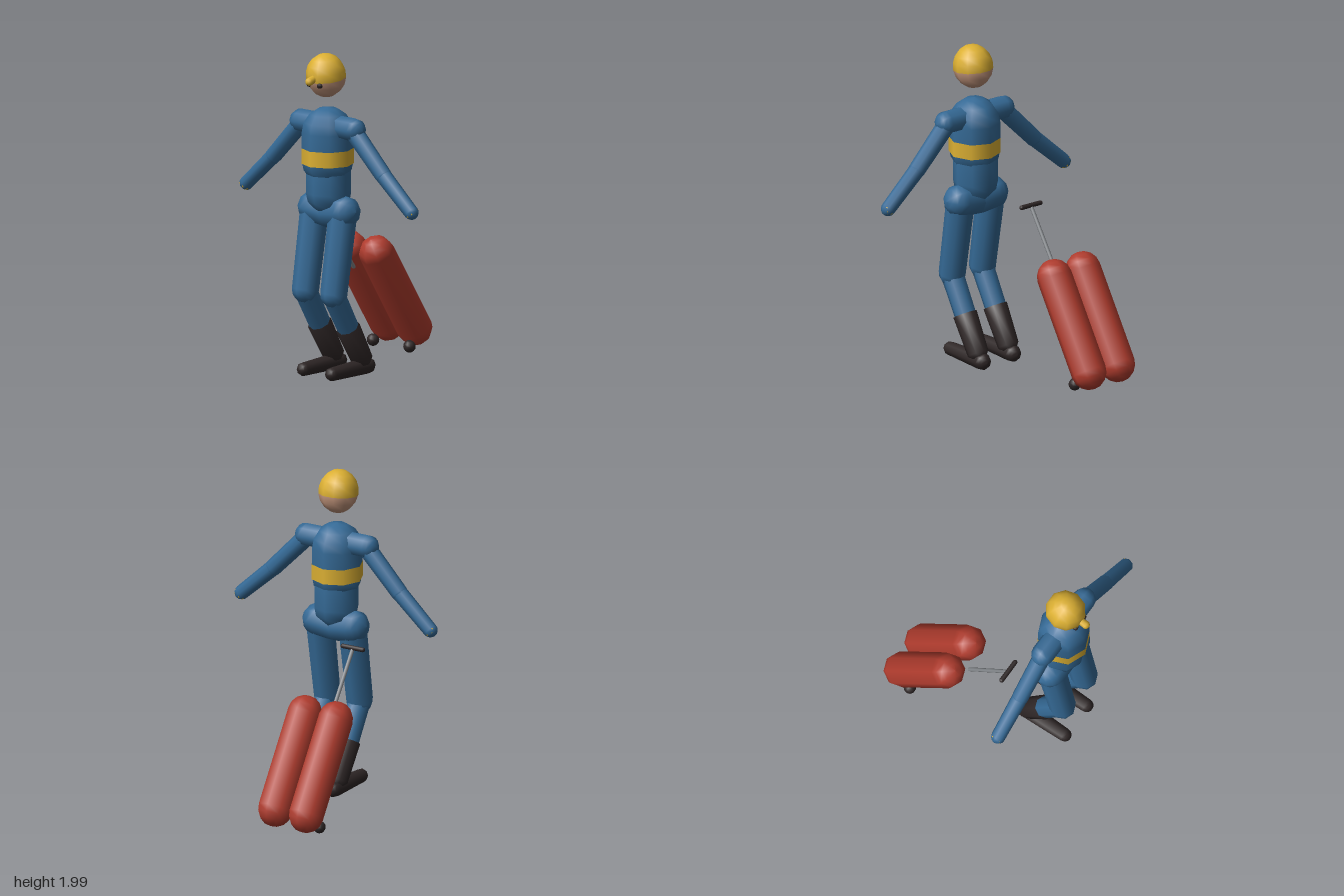
import * as THREE from 'three';

const mat = (name, color) => {
  const m = new THREE.MeshStandardMaterial({ color });
  m.name = name;
  return m;
};

export function createModel() {
  const blue = mat('blue suit', 0x356a96);
  const yellow = mat('yellow trim', 0xdcb033);
  const skin = mat('skin', 0xc0937a);
  const dark = mat('dark rubber', 0x2e2626);
  const red = mat('red case', 0xb03c2e);
  const grey = mat('grey metal', 0x84888c);

  const model = new THREE.Group();
  const UP = new THREE.Vector3(0, 1, 0);

  const add = (name, geo, material, pos = [0, 0, 0], parent = model) => {
    const mesh = new THREE.Mesh(geo, material);
    mesh.name = name;
    mesh.position.set(...pos);
    parent.add(mesh);
    return mesh;
  };

  // Eight-sided profile spun around the line from a to b
  const spin = (name, a, b, material, profile, parent) => {
    const start = new THREE.Vector3(...a);
    const dir = new THREE.Vector3(...b).sub(start);
    const geo = new THREE.LatheGeometry(profile(dir.length()), 8);
    const mesh = add(name, geo, material, a, parent);
    mesh.quaternion.setFromUnitVectors(UP, dir.normalize());
    return mesh;
  };

  // Round-ended limb, optionally tapered
  const limb = (name, a, b, ra, rb, material, parent) =>
    spin(name, a, b, material, (len) => {
      const pts = [];
      for (let i = 0; i <= 4; i++) {
        const t = (i / 4) * Math.PI / 2;
        pts.push(new THREE.Vector2(ra * Math.sin(t), -ra * Math.cos(t)));
      }
      for (let i = 0; i <= 4; i++) {
        const t = (i / 4) * Math.PI / 2;
        pts.push(new THREE.Vector2(rb * Math.cos(t), len + rb * Math.sin(t)));
      }
      pts[0].x = pts[9].x = 0;
      return pts;
    }, parent);

  // Head: covered crown and bare face share one tilted ball
  const head = new THREE.Group();
  head.name = 'head';
  head.position.set(0, 1.865, 0.448);
  head.rotation.x = 0.12;
  head.scale.set(0.97, 1.08, 1);
  model.add(head);
  const cut = Math.PI * 0.545;
  add('hood', new THREE.SphereGeometry(0.125, 10, 5, 0, Math.PI * 2, 0, cut), yellow, [0, 0, 0], head);
  add('face', new THREE.SphereGeometry(0.125, 10, 4, 0, Math.PI * 2, cut, Math.PI - cut), skin, [0, 0, 0], head);
  limb('headLamp', [0, 1.86, 0.55], [0, 1.846, 0.595], 0.022, 0.026, yellow);

  // Torso
  limb('chest', [0, 1.34, 0.433], [0, 1.513, 0.433], 0.157, 0.157, blue);
  limb('waist', [0, 1.14, 0.425], [0, 1.28, 0.425], 0.137, 0.137, blue);
  add('chestBand', new THREE.CylinderGeometry(0.159, 0.159, 0.095, 8, 1, true), yellow, [0, 1.367, 0.433]);
  yellow.side = THREE.DoubleSide;

  for (const s of [1, -1]) {
    const side = s > 0 ? 'left' : 'right';
    add(side + 'Eye', new THREE.SphereGeometry(0.018, 8, 6), dark, [s * 0.042, 1.82, 0.55]);

    // Arm
    const arm = new THREE.Group();
    arm.name = side + 'Arm';
    model.add(arm);
    limb('shoulder', [s * 0.08, 1.555, 0.432], [s * 0.215, 1.555, 0.432], 0.072, 0.072, blue, arm);
    limb('upperArm', [s * 0.225, 1.53, 0.432], [s * 0.445, 1.305, 0.425], 0.056, 0.052, blue, arm);
    limb('forearm', [s * 0.445, 1.305, 0.425], [s * 0.668, 1.107, 0.42], 0.05, 0.045, blue, arm);
    add('hand', new THREE.SphereGeometry(0.043, 8, 6), yellow, [s * 0.669, 1.106, 0.42], arm);

    // Leg
    const leg = new THREE.Group();
    leg.name = side + 'Leg';
    model.add(leg);
    const x = s * 0.115;
    limb('hip', [0, 1.02, 0.42], [s * 0.12, 1.035, 0.42], 0.1, 0.102, blue, leg);
    limb('thigh', [x, 1.0, 0.428], [x, 0.54, 0.505], 0.087, 0.082, blue, leg);
    limb('shin', [x, 0.535, 0.505], [x, 0.14, 0.275], 0.07, 0.064, blue, leg);
    // Boot shaft with flat top, and foot
    spin('bootShaft', [x, 0.1, 0.25], [x, 0.315, 0.378], dark, (len) => [
      new THREE.Vector2(0, -0.05), new THREE.Vector2(0.04, -0.035),
      new THREE.Vector2(0.066, 0), new THREE.Vector2(0.075, len),
      new THREE.Vector2(0, len),
    ], leg);
    limb('foot', [x, 0.06, 0.208], [x, 0.052, 0.52], 0.053, 0.043, dark, leg);
  }

  // Rolling case made of two leaning rounded halves
  const luggage = new THREE.Group();
  luggage.name = 'rollingCase';
  model.add(luggage);
  const cx = -0.253;
  for (const s of [1, -1]) {
    const x = cx + s * 0.109;
    limb('caseHalf', [x, 0.145, -0.505], [x, 0.657, -0.168], 0.109, 0.109, red, luggage);
    add('wheel', new THREE.SphereGeometry(0.038, 10, 8), dark, [cx + s * 0.148, 0.05, -0.417], luggage);
  }
  limb('handlePole', [cx, 0.57, -0.08], [cx, 0.975, 0.203], 0.012, 0.012, grey, luggage);
  limb('handleGrip', [cx - 0.07, 0.982, 0.204], [cx + 0.07, 0.982, 0.204], 0.015, 0.015, dark, luggage);

  return model;
}
